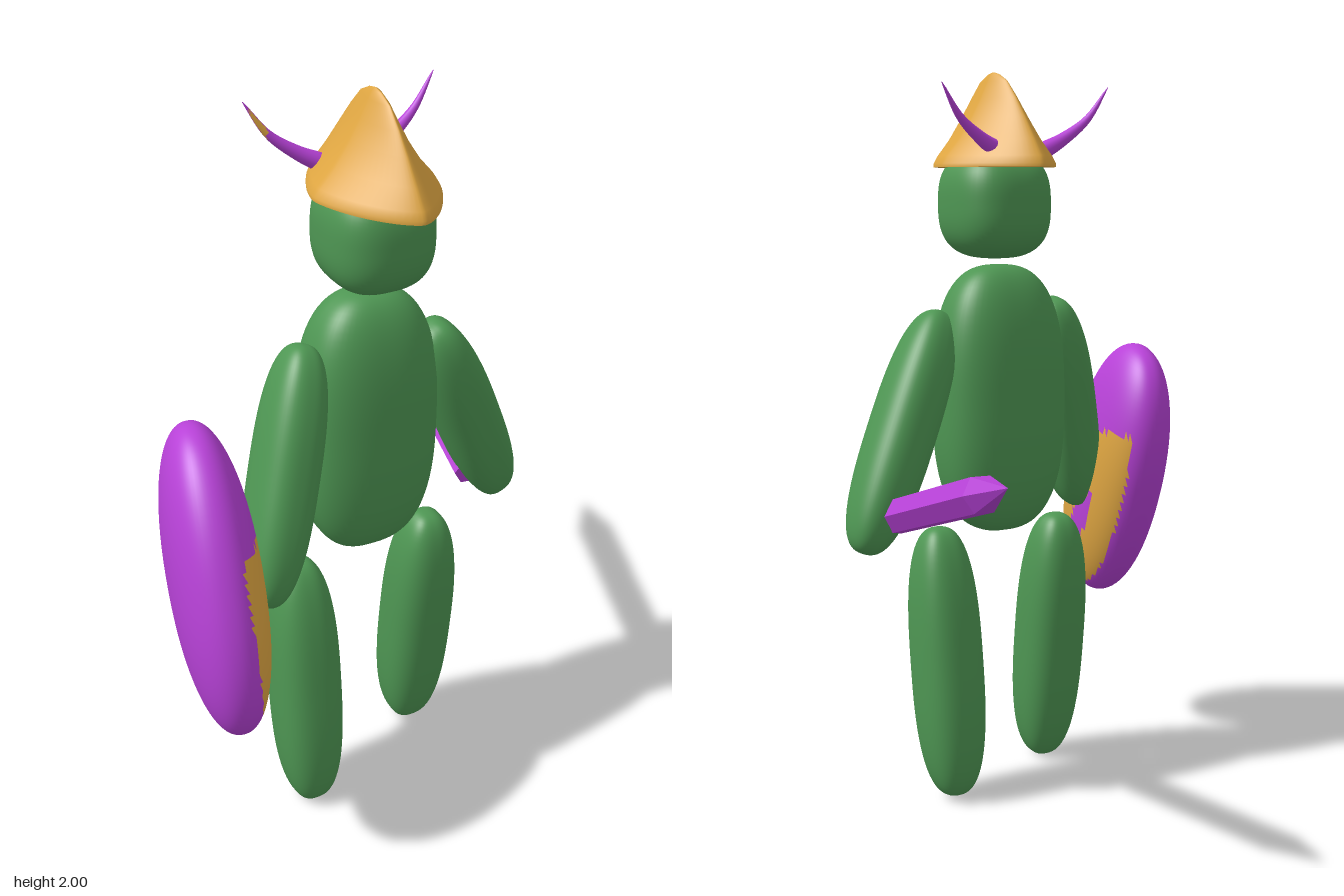
import * as THREE from 'three';
import { mergeVertices } from 'three/addons/utils/BufferGeometryUtils.js';

const V = (x, y, z) => new THREE.Vector3(x, y, z);
const paint = (name, color) => Object.assign(new THREE.MeshStandardMaterial({ color }), { name });

// Rounded blob, boxier with a higher n
function blobGeometry(rx, ry, rz, n) {
  let g = new THREE.SphereGeometry(1, 64, 48);
  const p = g.attributes.position;
  for (let i = 0; i < p.count; i++) {
    const v = V(0, 0, 0).fromBufferAttribute(p, i);
    const k = (Math.abs(v.x) ** n + Math.abs(v.y) ** n + Math.abs(v.z) ** n) ** (-1 / n);
    p.setXYZ(i, v.x * k * rx, v.y * k * ry, v.z * k * rz);
  }
  g.deleteAttribute('uv');
  g.deleteAttribute('normal');
  g = mergeVertices(g, 1e-5);
  g.computeVertexNormals();
  return g;
}

// Surface through rings of points, closed around and wound outwards
function loft(rings) {
  const m = rings[0].length, pos = [], idx = [];
  rings.forEach(r => r.forEach(v => pos.push(v.x, v.y, v.z)));
  for (let i = 0; i < rings.length - 1; i++) {
    for (let j = 0; j < m; j++) {
      const a = i * m + j, b = i * m + (j + 1) % m, c = a + m, d = b + m;
      idx.push(a, c, b, b, c, d);
    }
  }
  const g = new THREE.BufferGeometry();
  g.setAttribute('position', new THREE.Float32BufferAttribute(pos, 3));
  g.setIndex(idx);
  g.computeVertexNormals();
  return g;
}

// Sorts faces into two material groups by the position of their middle
function splitFaces(g, isSecond) {
  const p = g.attributes.position, ids = g.index.array, first = [], second = [];
  for (let i = 0; i < ids.length; i += 3) {
    const tri = [ids[i], ids[i + 1], ids[i + 2]], mid = V(0, 0, 0);
    tri.forEach(k => mid.add(V(0, 0, 0).fromBufferAttribute(p, k)));
    (isSecond(mid.divideScalar(3)) ? second : first).push(...tri);
  }
  g.setIndex([...first, ...second]);
  g.addGroup(0, first.length, 0);
  g.addGroup(first.length, second.length, 1);
  return g;
}

// Hard-edged copy
function facet(g) {
  const f = g.toNonIndexed();
  f.computeVertexNormals();
  return f;
}

export function createModel() {
  const group = new THREE.Group();
  const green = paint('green body', 0x4e9653);
  const purple = paint('purple', 0xb842d8);
  const gold = paint('gold', 0xdfa642);

  function add(name, geometry, material, parent = group) {
    const mesh = new THREE.Mesh(geometry, material);
    mesh.name = name;
    parent.add(mesh);
    return mesh;
  }

  // Limb stretched between two end points
  function limb(name, from, to, rx, rz) {
    const dir = from.clone().sub(to);
    const mesh = add(name, blobGeometry(rx, dir.length() / 2, rz, 2.7), green);
    mesh.position.copy(from).add(to).multiplyScalar(0.5);
    mesh.quaternion.setFromUnitVectors(V(0, 1, 0), dir.normalize());
  }

  // Body
  add('head', blobGeometry(0.14, 0.148, 0.148, 2.8), green).position.set(0.055, 1.645, 0.235);
  add('torso', blobGeometry(0.187, 0.373, 0.132, 2.7), green).position.set(0.053, 1.108, 0.22);
  limb('leftArm', V(0.22, 1.355, 0.255), V(0.517, 0.732, 0.152), 0.084, 0.098);
  limb('rightArm', V(-0.138, 1.378, 0.24), V(-0.33, 0.745, 0.398), 0.08, 0.098);
  limb('leftLeg', V(0.247, 0.762, 0.23), V(0.247, 0.012, 0.145), 0.092, 0.098);
  limb('rightLeg', V(-0.163, 0.752, 0.25), V(-0.163, 0.003, 0.34), 0.092, 0.098);

  // Hat: lens-shaped rings, concave across and sloping along [y, half width, half length]
  const levels = [[2, 0.001, 0.001], [1.994, 0.009, 0.03], [1.975, 0.019, 0.07], [1.93, 0.041, 0.115],
    [1.88, 0.069, 0.157], [1.82, 0.11, 0.203], [1.775, 0.15, 0.237], [1.755, 0.163, 0.246], [1.745, 0.163, 0.246]];
  const lens = (y, w, l) => Array.from({ length: 64 }, (_, j) => {
    const a = j / 64 * Math.PI * 2, s = Math.sin(a), c = Math.cos(a), e = 1.36;
    return V(0.058 + w * Math.sign(s) * Math.abs(s) ** e, y, 0.23 + l * Math.sign(c) * Math.abs(c) ** e);
  });
  add('hat', loft(levels.map(l => lens(...l))), gold);
  add('hatUnderside', loft([lens(1.745, 0.163, 0.246), lens(1.745, 0.001, 0.001)]), gold);

  // Horns: tapered and curving upwards, mirrored about the hat
  for (const side of [1, -1]) {
    const at = (x, y, z) => V(0.046 + side * x, y, z);
    const curve = new THREE.CatmullRomCurve3([at(0.075, 1.79, 0.112), at(0.13, 1.82, 0.103),
      at(0.2, 1.873, 0.09), at(0.261, 1.96, 0.078)]);
    const rings = Array.from({ length: 17 }, (_, i) => {
      const t = i / 16, o = curve.getPoint(t), d = curve.getTangent(t);
      const u = V(0, 0, 1).cross(d).normalize(), w = d.clone().cross(u);
      const r = 0.023 * (1 - t) ** 0.8 + 0.001;
      return Array.from({ length: 16 }, (_, j) => {
        const a = -j / 16 * Math.PI * 2;
        return o.clone().addScaledVector(u, r * Math.cos(a)).addScaledVector(w, r * Math.sin(a));
      });
    });
    // The right horn has a small gold fleck near the tip
    const horn = splitFaces(loft(rings), m =>
      side < 0 && m.x > -0.2 && m.x < -0.16 && m.z > 0.082 + 0.21 * (m.x + 0.21));
    add(side > 0 ? 'leftHorn' : 'rightHorn', horn, [purple, gold]);
  }

  // Sword: six-sided blade with a pointed end, flats on top and bottom
  const grip = V(0.425, 0.815, 0.17), tip = V(0.54, 1.027, -0.61);
  const along = tip.clone().sub(grip), length = along.length(), point = 0.155;
  along.normalize();
  const across = along.clone().cross(V(0, 1, 0)).normalize();
  const sword = new THREE.Group();
  sword.name = 'sword';
  add('blade', facet(new THREE.CylinderGeometry(0.05, 0.05, length - point, 6)), purple, sword)
    .position.y = (length - point) / 2;
  add('bladeTip', facet(new THREE.ConeGeometry(0.05, point, 6)), purple, sword)
    .position.y = length - point / 2;
  sword.quaternion.setFromRotationMatrix(
    new THREE.Matrix4().makeBasis(along.clone().cross(across), along, across));
  sword.position.copy(grip);
  group.add(sword);

  // Shield: thick oval, with a gold patch and a purple gap on the face towards the arm
  const shell = splitFaces(blobGeometry(0.118, 0.405, 0.222, 2.2), m => {
    const gap = Math.hypot((m.y + 0.17) / 0.14, (m.z + 0.045 + 0.35 * (m.y + 0.17)) / 0.043) < 1;
    return m.x > 0.052 && m.y < 0.14 - 0.35 * m.z && !gap;
  });
  const shield = add('shield', shell, [purple, gold]);
  shield.position.set(-0.445, 0.842, 0.355);
  shield.rotation.set(-0.36, -0.26, 0.08, 'YXZ');

  return group;
}
